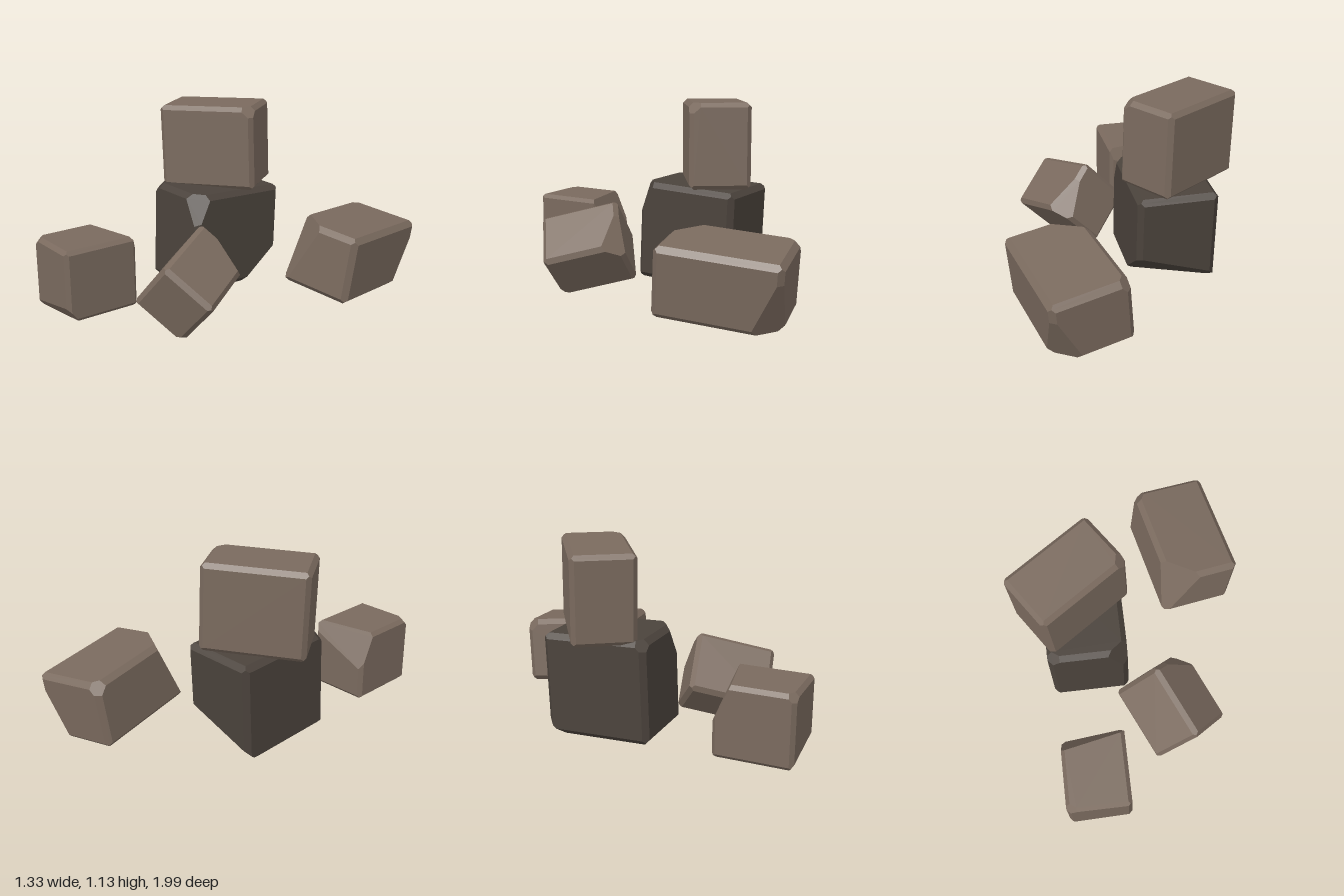
import * as THREE from 'three';
import { ConvexGeometry } from 'three/addons/geometries/ConvexGeometry.js';

const lightStone = new THREE.MeshStandardMaterial({ color: 0x7a6a5e, flatShading: true });
const darkStone = new THREE.MeshStandardMaterial({ color: 0x4b433c, flatShading: true });

// Box with bevelled edges and sliced corners, as the solid bounded by planes n.p <= d.
// A slice is [corner signs, distances from that corner along the x, y and z edges].
function stoneGeometry(size, bevel, slices) {
  const half = size.map((s) => s / 2);
  const planes = [];
  const addPlane = (n, d) => {
    const v = new THREE.Vector3(...n);
    const len = v.length();
    planes.push({ n: v.divideScalar(len), d: d / len });
  };
  // Faces and edge bevels
  for (let x = -1; x <= 1; x++) for (let y = -1; y <= 1; y++) for (let z = -1; z <= 1; z++) {
    const n = [x, y, z];
    const count = Math.abs(x) + Math.abs(y) + Math.abs(z);
    if (count !== 1 && count !== 2) continue;
    const reach = n.reduce((sum, s, i) => sum + Math.abs(s) * half[i], 0);
    addPlane(n, reach - (count === 2 ? bevel : 0));
  }
  // Corner slices
  for (const [signs, dist] of slices) {
    addPlane(signs.map((s, i) => s / dist[i]), dist.reduce((sum, d, i) => sum + half[i] / d, -1));
  }
  // Corners of the solid: points where three planes meet inside all the others
  const points = [];
  const cross = (a, b) => new THREE.Vector3().crossVectors(a.n, b.n);
  for (let i = 0; i < planes.length; i++) for (let j = i + 1; j < planes.length; j++) for (let k = j + 1; k < planes.length; k++) {
    const [a, b, c] = [planes[i], planes[j], planes[k]];
    const bc = cross(b, c);
    const det = a.n.dot(bc);
    if (Math.abs(det) < 1e-5) continue;
    const p = bc.multiplyScalar(a.d).addScaledVector(cross(c, a), b.d).addScaledVector(cross(a, b), c.d).divideScalar(det);
    if (planes.every((q) => q.n.dot(p) <= q.d + 1e-6) && !points.some((q) => q.distanceTo(p) < 1e-4)) points.push(p);
  }
  return new ConvexGeometry(points);
}

// Each stone: size, centre, direction of its own x and z axes, and corner slices
const stones = [
  {
    name: 'baseStone', material: darkStone, size: [0.455, 0.58, 0.61], at: [-0.283, 0.35, -0.105],
    x: [1, 0, 0], z: [0, 0.04, 1], bevel: 0.03,
    slices: [
      [[1, -1, -1], [0.67, 0.22, 0.26]],
      [[1, 1, 1], [0.13, 0.23, 0.1]],
      [[-1, 1, 1], [0.11, 0.08, 0.08]],
    ],
  },
  {
    name: 'topStone', material: lightStone, size: [0.57, 0.49, 0.35], at: [-0.343, 0.875, -0.157],
    x: [0.83, 0.03, -0.56], z: [0.56, 0, 0.83], bevel: 0.025,
    slices: [[[1, 1, 1], [0.09, 0.08, 0.09]]],
  },
  {
    name: 'frontStone', material: lightStone, size: [0.365, 0.41, 0.44], at: [-0.307, 0.28, 0.78],
    x: [1, 0, 0], z: [0, 0, 1], bevel: 0.022,
    slices: [
      [[1, -1, 1], [0.55, 0.09, 0.07]],
      [[-1, 1, -1], [0.5, 0.22, 0.1]],
      [[-1, 1, 1], [0.09, 0.06, 0.06]],
    ],
  },
  {
    name: 'tumbledStone', material: lightStone, size: [0.36, 0.34, 0.46], at: [0.17, 0.265, 0.4],
    x: [0.67, 0.73, -0.12], z: [0.43, -0.25, 0.87], bevel: 0.025,
    slices: [
      [[1, -1, -1], [0.12, 0.28, 0.12]],
      [[-1, -1, 1], [0.07, 0.07, 0.07]],
    ],
  },
  {
    name: 'longStone', material: lightStone, size: [0.44, 0.39, 0.67], at: [0.37, 0.285, -0.61],
    x: [0.965, -0.115, -0.23], z: [0.21, 0.075, 0.975], bevel: 0.03,
    slices: [
      [[-1, 1, 1], [0.21, 0.45, 0.17]],
      [[1, -1, -1], [0.15, 0.36, 0.15]],
      [[-1, 1, -1], [0.08, 0.1, 0.1]],
    ],
  },
];

export function createModel() {
  const group = new THREE.Group();
  group.name = 'stonePile';
  for (const s of stones) {
    const mesh = new THREE.Mesh(stoneGeometry(s.size, s.bevel, s.slices), s.material);
    mesh.name = s.name;
    const z = new THREE.Vector3(...s.z).normalize();
    const y = new THREE.Vector3().crossVectors(z, new THREE.Vector3(...s.x)).normalize();
    const x = new THREE.Vector3().crossVectors(y, z);
    mesh.quaternion.setFromRotationMatrix(new THREE.Matrix4().makeBasis(x, y, z));
    mesh.position.set(...s.at);
    group.add(mesh);
  }
  return group;
}
